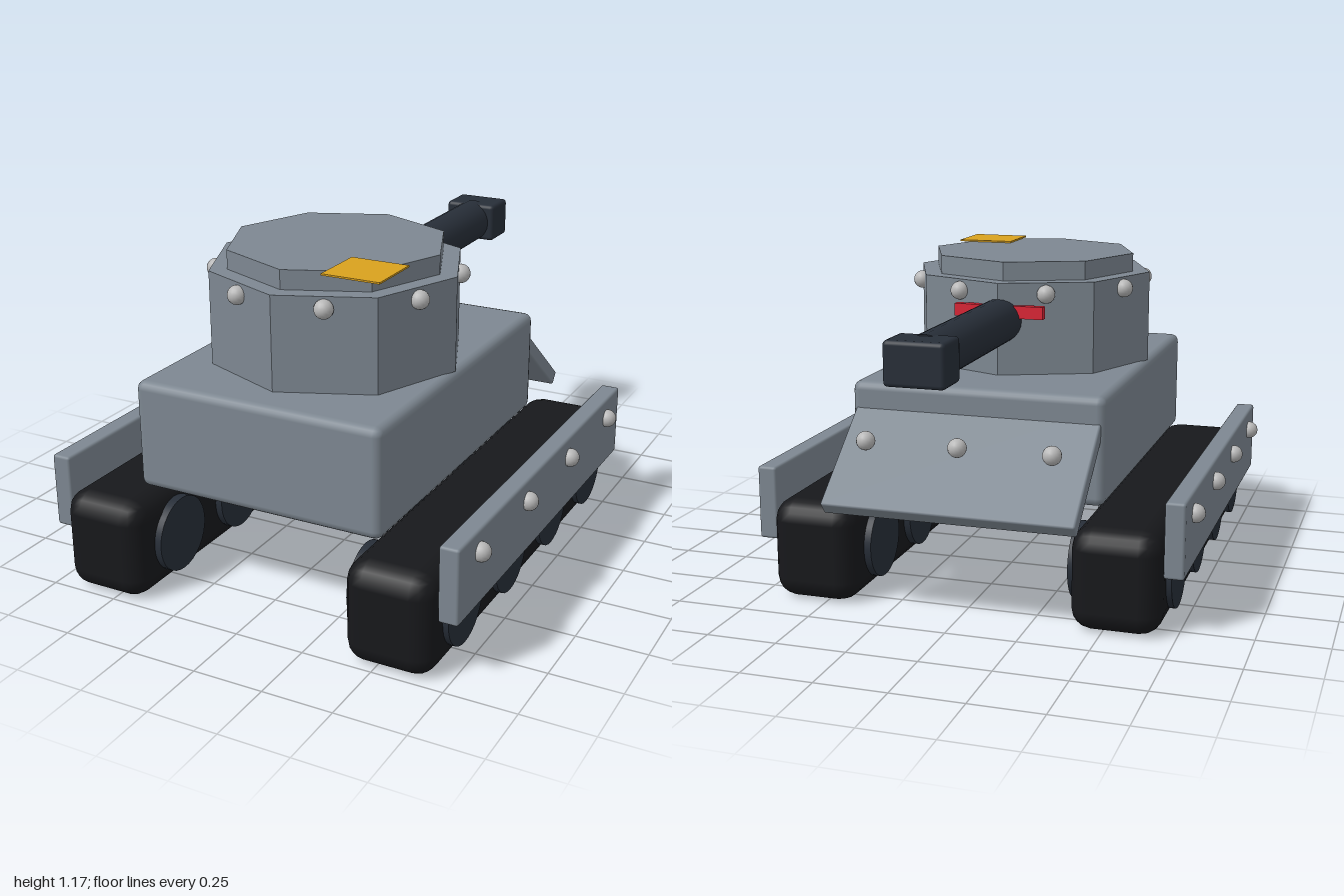
import * as THREE from 'three';
import { RoundedBoxGeometry } from 'three/addons/geometries/RoundedBoxGeometry.js';

const mat = (color, flatShading = false) => new THREE.MeshStandardMaterial({ color, flatShading });
const armour = mat(0x7d8791), armourFlat = mat(0x7d8791, true);
const rubber = mat(0x17181b), gunmetal = mat(0x272e38);
const steel = mat(0xb8b8b8), red = mat(0xdc2335), yellow = mat(0xd9a11e);

export function createModel() {
  const model = new THREE.Group();

  const add = (name, geometry, material, x, y, z, parent = model) => {
    const mesh = new THREE.Mesh(geometry, material);
    mesh.name = name;
    mesh.position.set(x, y, z);
    parent.add(mesh);
    return mesh;
  };
  const rounded = (w, h, d, r, segments = 2) => new RoundedBoxGeometry(w, h, d, segments, r);
  const boltGeometry = new THREE.SphereGeometry(0.033, 16, 12);
  const bolt = (x, y, z, parent) => add('bolt', boltGeometry, steel, x, y, z, parent);

  // Hull
  add('hull', rounded(0.92, 0.385, 1.28, 0.03), armour, 0, 0.573, 0.22);

  // Sloped plate with its row of bolts
  const plate = add('slopedPlate', rounded(0.89, 0.055, 0.5, 0.008), armour, 0, 0.544, -0.535);
  plate.rotation.x = -0.675;
  for (const x of [-0.33, 0, 0.33]) bolt(x, 0.605, -0.61);

  // Running gear, mirrored left and right
  const wheelGeometry = new THREE.CylinderGeometry(0.135, 0.135, 0.36, 32).rotateZ(Math.PI / 2);
  for (const side of [1, -1]) {
    const gear = new THREE.Group();
    gear.name = side > 0 ? 'leftRunningGear' : 'rightRunningGear';
    model.add(gear);
    add('track', rounded(0.315, 0.36, 1.62, 0.075), rubber, side * 0.543, 0.18, 0.187, gear);
    add('sideSkirt', rounded(0.07, 0.265, 1.5, 0.01), armour, side * 0.734, 0.333, 0.188, gear);
    for (const z of [0.765, 0.385, -0.005, -0.385]) {
      add('roadWheel', wheelGeometry, gunmetal, side * 0.54, 0.18, z, gear);
    }
    for (const z of [0.785, 0.385, -0.01, -0.415]) bolt(side * 0.776, 0.393, z, gear);
  }

  // Octagonal turret, with a bolt on each face
  const turret = new THREE.Group();
  turret.name = 'turret';
  turret.position.set(0, 0, 0.28);
  model.add(turret);
  add('turretBody', new THREE.CylinderGeometry(0.452, 0.452, 0.335, 8), armourFlat, 0, 0.93, 0, turret);
  add('turretRoof', new THREE.CylinderGeometry(0.388, 0.388, 0.07, 8), armourFlat, 0, 1.13, 0, turret);
  for (let i = 0; i < 8; i++) {
    const a = (i + 0.5) * Math.PI / 4;
    bolt(Math.sin(a) * 0.425, 1.057, Math.cos(a) * 0.425, turret);
  }
  add('hatch', new THREE.BoxGeometry(0.21, 0.006, 0.21), yellow, 0.253, 1.168, 0.278, turret);

  // Gun
  const barrel = new THREE.CylinderGeometry(0.08, 0.08, 0.8, 24).rotateX(Math.PI / 2);
  add('gunBarrel', barrel, gunmetal, 0, 0.96, -0.495);
  add('muzzle', rounded(0.205, 0.147, 0.147, 0.015), gunmetal, 0, 0.961, -0.927);
  add('gunCollar', new THREE.BoxGeometry(0.33, 0.045, 0.03), red, 0, 0.995, -0.148);

  return model;
}
